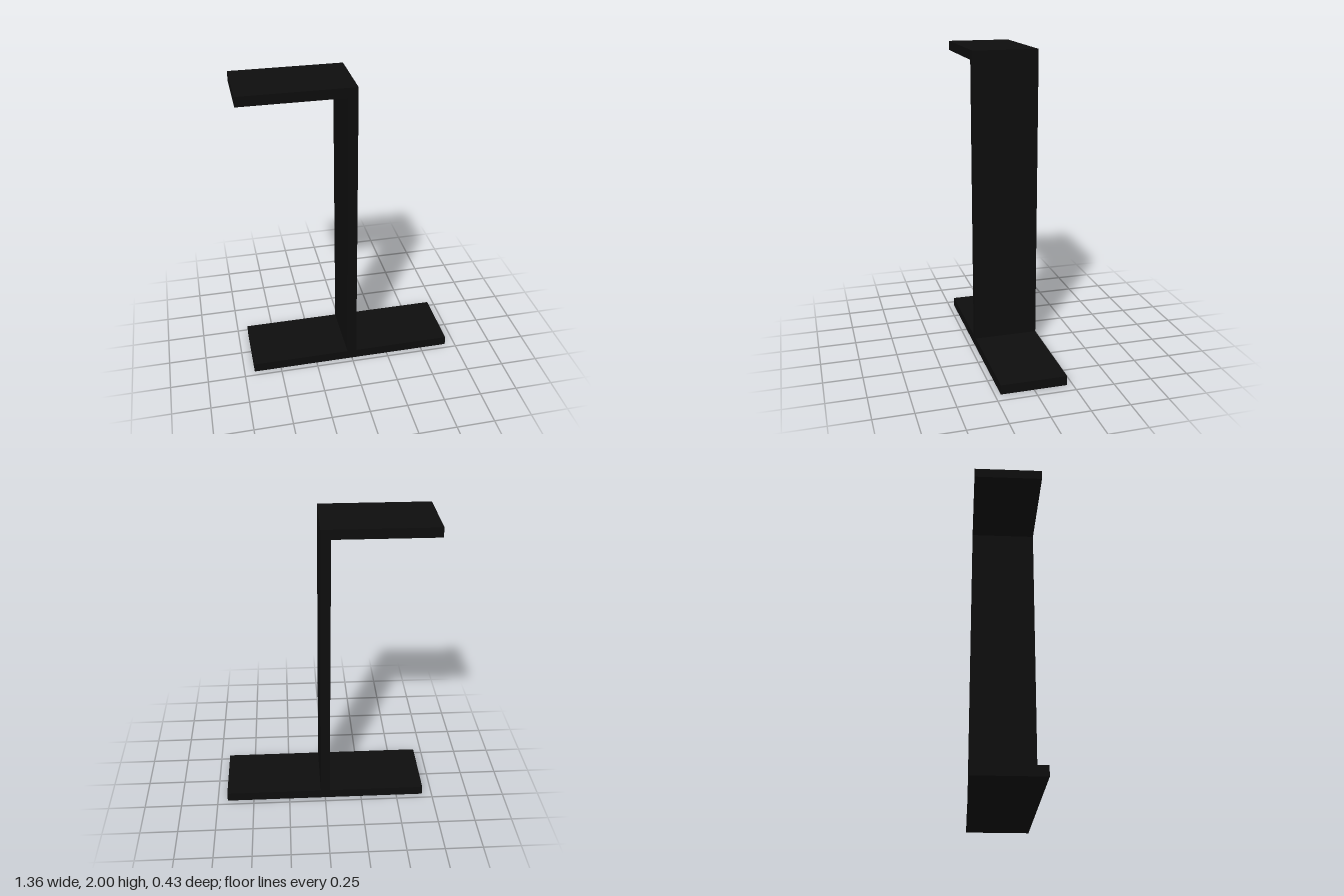
import * as THREE from 'three';

const HALF_WIDTH = 0.682; // half the length of the foot
const DEPTH = 0.426;
const THICK = 0.062;
const HEIGHT = 2;

export function createModel() {
  const model = new THREE.Group();
  model.name = 'sideTable';
  const black = new THREE.MeshStandardMaterial({ color: 0x0d0d0d });
  black.name = 'black';

  // Board spanning x0..x1 and y0..y1 over the full depth
  function board(name, x0, x1, y0, y1) {
    const mesh = new THREE.Mesh(new THREE.BoxGeometry(x1 - x0, y1 - y0, DEPTH), black);
    mesh.position.set((x0 + x1) / 2, (y0 + y1) / 2, 0);
    mesh.name = name;
    model.add(mesh);
  }

  // Foot on the ground, upright in the middle, top reaching to one side
  board('foot', -HALF_WIDTH, HALF_WIDTH, 0, THICK);
  board('upright', -THICK / 2, THICK / 2, THICK, HEIGHT - THICK);
  board('tabletop', -HALF_WIDTH, THICK / 2, HEIGHT - THICK, HEIGHT);

  return model;
}
